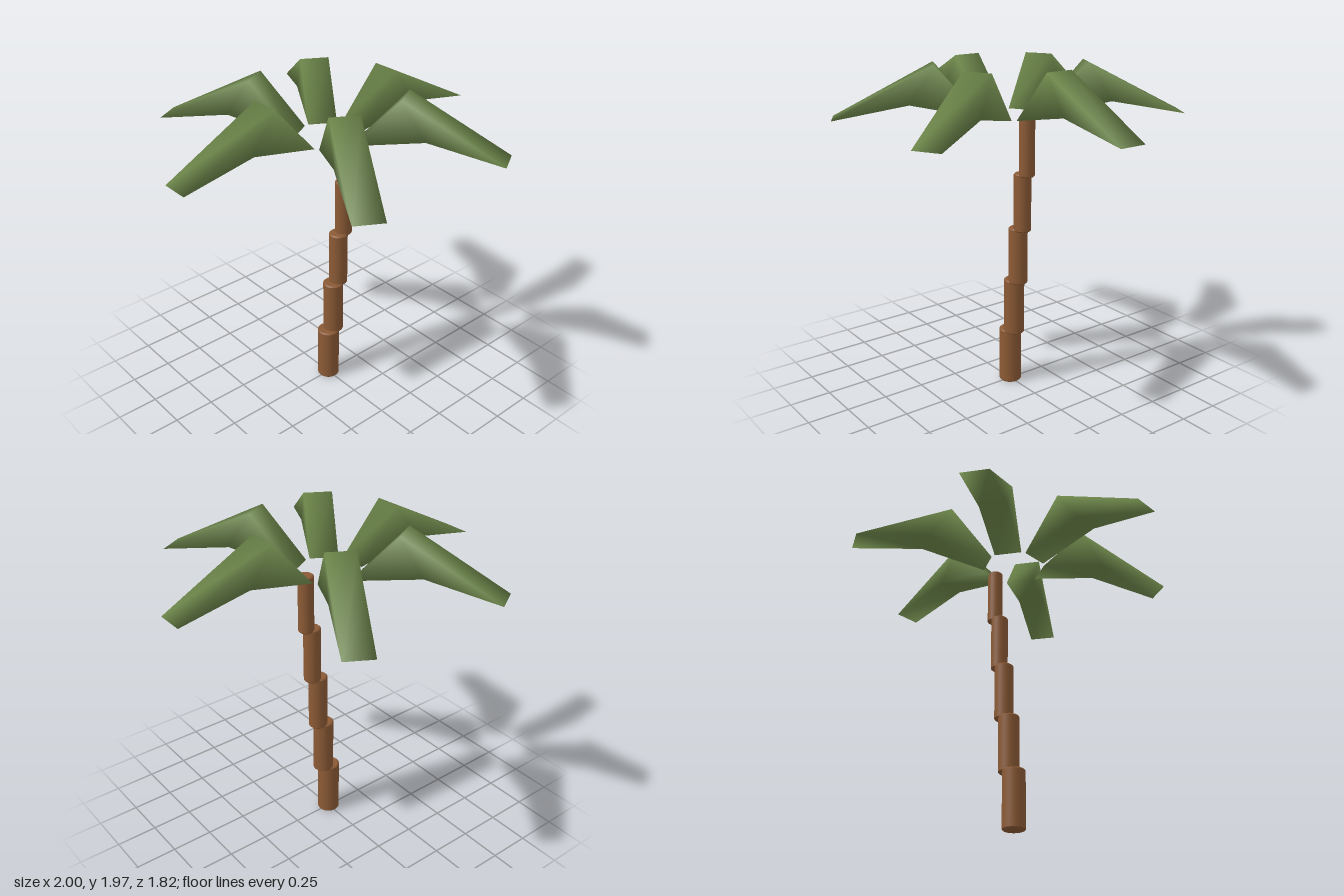
import * as THREE from 'three';
import { mergeVertices } from 'three/addons/utils/BufferGeometryUtils.js';

const bark = new THREE.MeshStandardMaterial({ color: 0x8b5a35 });
bark.name = 'bark brown';
const leaf = new THREE.MeshStandardMaterial({ color: 0x6b8449 });
leaf.name = 'leaf green';

// Upright log with slightly bevelled rims
function logGeometry(radius, height) {
  const b = 0.007, e = 0.0005;
  const profile = [
    [0, 0], [radius - b - e, 0], [radius - b, 0],
    [radius, b], [radius, b + e], [radius, height - b - e], [radius, height - b],
    [radius - b, height], [radius - b - e, height], [0, height],
  ].map(([x, y]) => new THREE.Vector2(x, y));
  return new THREE.LatheGeometry(profile, 24);
}

// Bent frond: a side outline extruded across its width, with shared smooth normals
function frondGeometry() {
  const width = 0.166;
  const outline = new THREE.Shape([
    [0.17, 1.673], [0.57, 1.752], [1.0, 1.673], [0.43, 1.97],
  ].map(([r, y]) => new THREE.Vector2(r, y)));
  let geometry = new THREE.ExtrudeGeometry(outline, { depth: width, bevelEnabled: false });
  geometry.translate(0, 0, -width / 2);
  geometry.deleteAttribute('normal');
  geometry.deleteAttribute('uv');
  geometry.clearGroups();
  geometry = mergeVertices(geometry);
  geometry.computeVertexNormals();
  return geometry;
}

export function createModel() {
  const model = new THREE.Group();
  model.name = 'palmTree';

  // Leaning trunk of five stepped, narrowing logs
  const trunk = new THREE.Group();
  trunk.name = 'trunk';
  for (let i = 0; i < 5; i++) {
    const log = new THREE.Mesh(logGeometry(0.067 - i * 0.0053, 0.348), bark);
    log.name = `trunkSegment${i + 1}`;
    log.position.set(i * 0.0395, i * 0.3355, 0);
    trunk.add(log);
  }
  model.add(trunk);

  // Ring of six fronds
  const crown = new THREE.Group();
  crown.name = 'crown';
  const geometry = frondGeometry();
  for (let i = 0; i < 6; i++) {
    const frond = new THREE.Mesh(geometry, leaf);
    frond.name = `frond${i + 1}`;
    frond.rotation.y = i * Math.PI / 3;
    crown.add(frond);
  }
  model.add(crown);
  return model;
}
